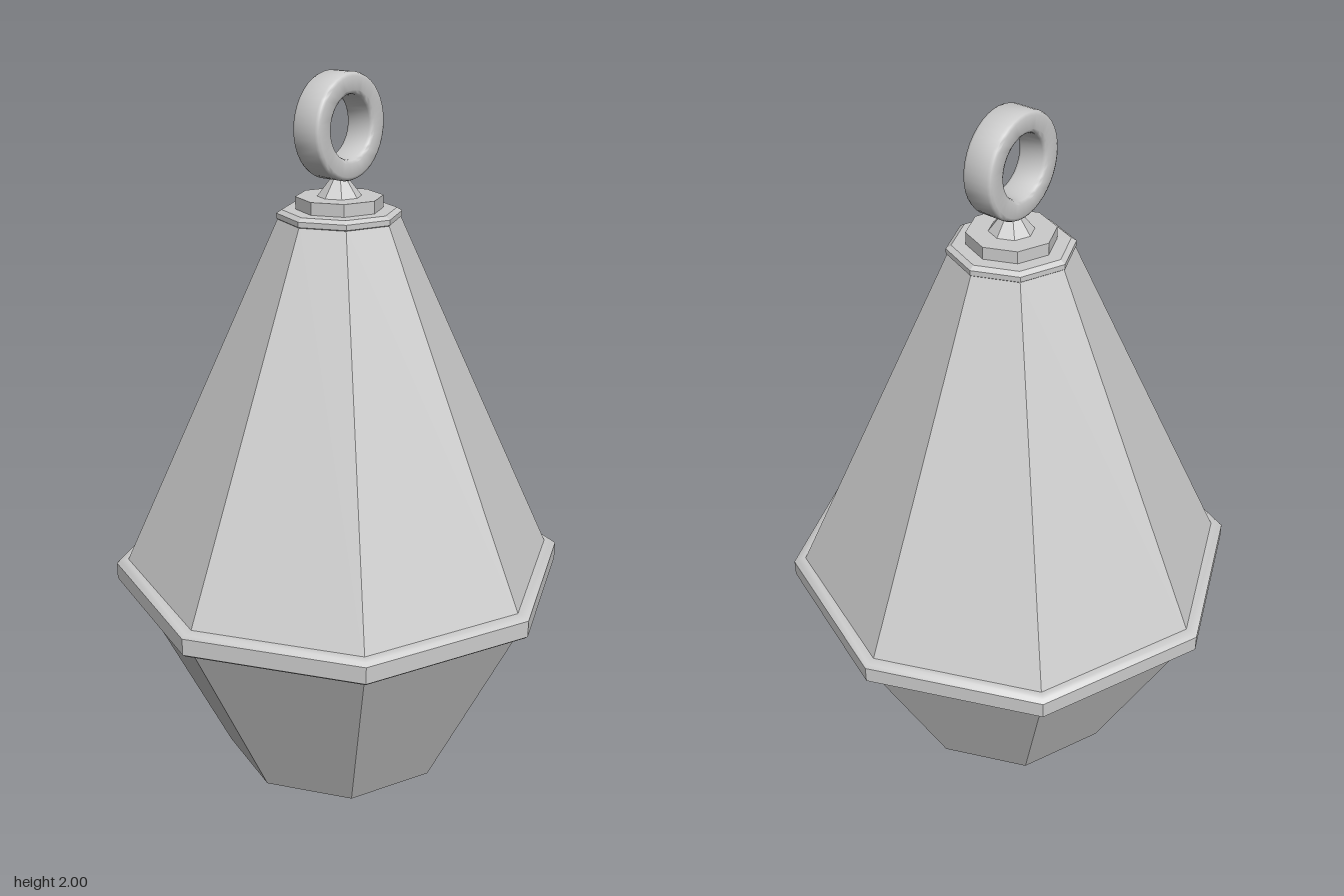
import * as THREE from 'three';
import { toCreasedNormals } from 'three/addons/utils/BufferGeometryUtils.js';

const flat = new THREE.MeshStandardMaterial({ color: 0xcccccc, flatShading: true });
const smooth = new THREE.MeshStandardMaterial({ color: 0xcccccc });

// Revolve [radius, height] pairs, listed bottom to top along the outside
function turned(name, profile, sides = 8, material = flat, crease = 0) {
  let geometry = new THREE.LatheGeometry(profile.map(([r, y]) => new THREE.Vector2(r, y)), sides);
  if (crease) geometry = toCreasedNormals(geometry, crease);
  const mesh = new THREE.Mesh(geometry, material);
  mesh.name = name;
  return mesh;
}

export function createModel() {
  const group = new THREE.Group();
  group.name = 'weight';

  // Eight-sided body: short taper below, long taper above
  group.add(turned('body', [[0, 0], [0.335, 0], [0.63, 0.598], [0.163, 1.625], [0, 1.625]]));

  // Belt around the widest point, with softened edges
  group.add(turned('belt', [
    [0.6, 0.563], [0.622, 0.563], [0.638, 0.566], [0.648, 0.574],
    [0.648, 0.622], [0.638, 0.63], [0.622, 0.633], [0.6, 0.633],
  ], 8, smooth, 0.7));

  // Stepped cap: wide plate, smaller plate and a tapered neck
  group.add(turned('capPlate', [[0, 1.615], [0.163, 1.615], [0.169, 1.62], [0.169, 1.634], [0.155, 1.643], [0, 1.645]]));
  group.add(turned('neckPlate', [[0, 1.635], [0.118, 1.635], [0.118, 1.677], [0, 1.677]]));
  group.add(turned('neck', [[0, 1.67], [0.06, 1.677], [0.025, 1.722], [0.02, 1.735], [0, 1.735]]));

  // Lifting ring with chamfered edges, its axis along x
  const w = 0.044, outer = 0.14, inner = 0.083, c = 0.011;
  const ring = turned('liftingRing', [
    [inner + c, -w], [outer - c, -w], [outer - c * 0.3, -w + c * 0.3], [outer, -w + c],
    [outer, w - c], [outer - c * 0.3, w - c * 0.3], [outer - c, w], [inner + c, w],
    [inner + c * 0.3, w - c * 0.3], [inner, w - c], [inner, -w + c], [inner + c * 0.3, -w + c * 0.3], [inner + c, -w],
  ], 40, smooth, 0.9);
  ring.rotation.z = Math.PI / 2;
  ring.position.y = 1.86;
  group.add(ring);

  return group;
}
